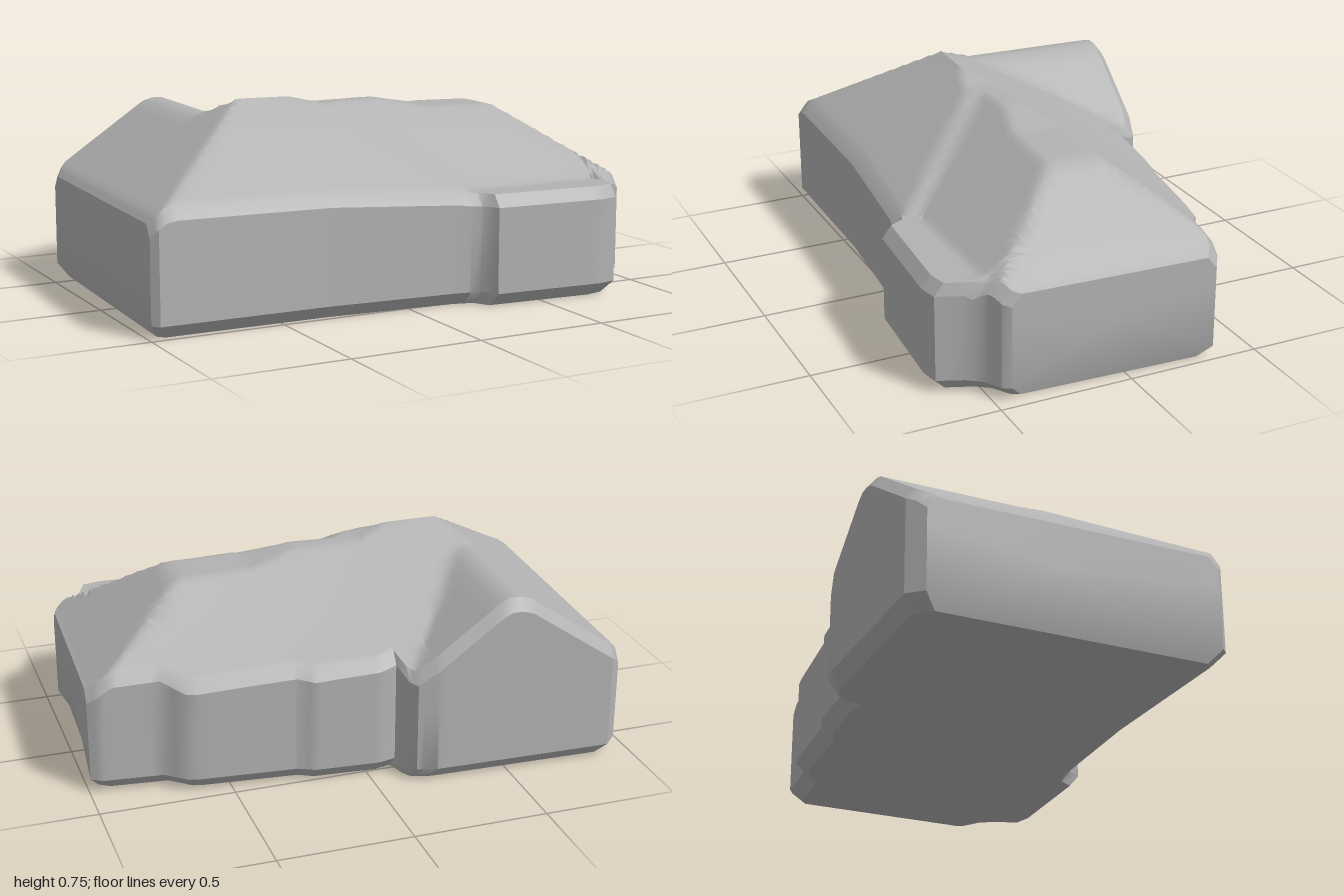
import * as THREE from 'three';
import { toCreasedNormals } from 'three/addons/utils/BufferGeometryUtils.js';

// piecewise-linear lookup in a list of [x, value] pairs
function lookup(pts, x) {
  for (let i = 1; i < pts.length; i++) {
    const [x0, v0] = pts[i - 1], [x1, v1] = pts[i];
    if (x <= x1) return v0 + (v1 - v0) * Math.max(0, (x - x0) / (x1 - x0));
  }
  return pts[pts.length - 1][1];
}

// footprint: z of the back and front walls along x
const backWall = [[-0.975, -0.62], [-0.925, -0.675], [-0.25, -0.655], [-0.175, -0.635], [-0.15, -0.6],
  [-0.125, -0.525], [-0.06, -0.54], [0.18, -0.52], [0.24, -0.49], [0.6, -0.455], [0.64, -0.445],
  [0.72, -0.38], [0.94, -0.355], [0.98, -0.33]];
const frontWall = [[-0.975, 0.485], [-0.95, 0.51], [-0.3, 0.52], [0.2, 0.56], [0.25, 0.57], [0.29, 0.585],
  [0.325, 0.64], [0.76, 0.67], [0.83, 0.655], [0.865, 0.56], [0.9, 0.51], [0.965, 0.47], [0.98, 0.44]];
const ridge = [[-1, 0.765], [-0.3, 0.765], [-0.14, 0.725], [0.12, 0.725], [0.3, 0.69], [0.6, 0.685], [1, 0.68]];

// height of the hipped main roof, the rear wing and the flat front annex
function roofHeight(x, z) {
  const valley = THREE.MathUtils.smoothstep(x, -0.18 + (z - 0.05) * 0.9, -0.08 + (z - 0.05) * 0.9);
  const front = 0.765 - (z - 0.06) * 0.715 - 0.035 * valley;
  const back = 0.73 + z * 0.28 / (0.53 - 0.2 * x);
  const left = Math.min(0.41 + (x + 0.975) * 1.2, 0.44 + (x + 0.95) * 0.68);
  const right = Math.min(0.41 + (0.98 - x) * 0.9, 0.43 + (0.95 - x) * 0.71);
  const main = Math.min(front, back, left, right, lookup(ridge, x));
  const wing = Math.min(left, front, 0.7 - (x + 0.52) * 0.75, 0.69);
  const annex = z > 0.4 && x > 0.27 && x < 0.88 ? 0.425 : 0.41;
  return Math.max(main, wing, annex);
}

// columns along x: every footprint corner plus even steps
function columns() {
  const xs = [...backWall, ...frontWall].map((p) => p[0]);
  for (let x = -0.96; x < 0.97; x += 0.04) xs.push(x);
  xs.sort((a, b) => a - b);
  return xs.filter((x, i) => i === 0 || x - xs[i - 1] > 0.002);
}

const ROWS = 56;

// closed cross-section: up the front wall, over the roof, down the back wall
function section(x) {
  const zb = lookup(backWall, x), zf = lookup(frontWall, x);
  const hf = roofHeight(x, zf - 0.035), hb = roofHeight(x, zb + 0.035);
  const ring = [[zf - 0.045, 0.01], [zf, 0.06], [zf, 0.3], [zf, hf - 0.045]];
  for (let r = 0; r <= ROWS; r++) {
    const z = zf - 0.035 + (zb - zf + 0.07) * r / ROWS;
    ring.push([z, roofHeight(x, z)]);
  }
  ring.push([zb, hb - 0.045], [zb, 0.3], [zb, 0.06], [zb + 0.045, 0.01]);
  return ring.map(([z, y]) => {
    const px = y < 0.02 ? x * 0.965 : x;
    return [px - 0.04 * z, y, z]; // the plan is slightly skewed
  });
}

export function createModel() {
  const group = new THREE.Group();
  group.name = 'house';
  const stone = new THREE.MeshStandardMaterial({ color: 0xb2b2b2 });
  stone.name = 'plain grey';

  const rings = columns().map(section);
  const n = rings[0].length;

  // quads between neighbouring sections for the chosen rows
  function strip(from, to) {
    const out = [];
    for (let i = 0; i < rings.length - 1; i++) {
      for (let j = from; j < to; j++) {
        const k = (j + 1) % n;
        const a = rings[i][j], b = rings[i + 1][j], c = rings[i + 1][k], d = rings[i][k];
        out.push(...a, ...b, ...c, ...a, ...c, ...d);
      }
    }
    return out;
  }

  // closing face at one end
  function endWall(ring, flip) {
    const out = [], centre = [0, 1, 2].map((c) => ring.reduce((s, p) => s + p[c], 0) / n);
    centre[1] = 0.24;
    centre[0] = ring[2][0] - 0.04 * (centre[2] - ring[2][2]);
    for (let j = 0; j < n; j++) {
      const p = ring[j], q = ring[(j + 1) % n];
      out.push(...centre, ...(flip ? q : p), ...(flip ? p : q));
    }
    return out;
  }

  function add(name, positions) {
    const geometry = new THREE.BufferGeometry();
    geometry.setAttribute('position', new THREE.Float32BufferAttribute(positions, 3));
    const mesh = new THREE.Mesh(toCreasedNormals(geometry, 0.7), stone);
    mesh.name = name;
    group.add(mesh);
  }

  add('frontWall', strip(0, 3));
  add('roof', strip(3, n - 4));
  add('backWall', strip(n - 4, n - 1));
  add('floor', strip(n - 1, n));
  add('rightEndWall', endWall(rings[0], false));
  add('leftEndWall', endWall(rings[rings.length - 1], true));
  return group;
}
